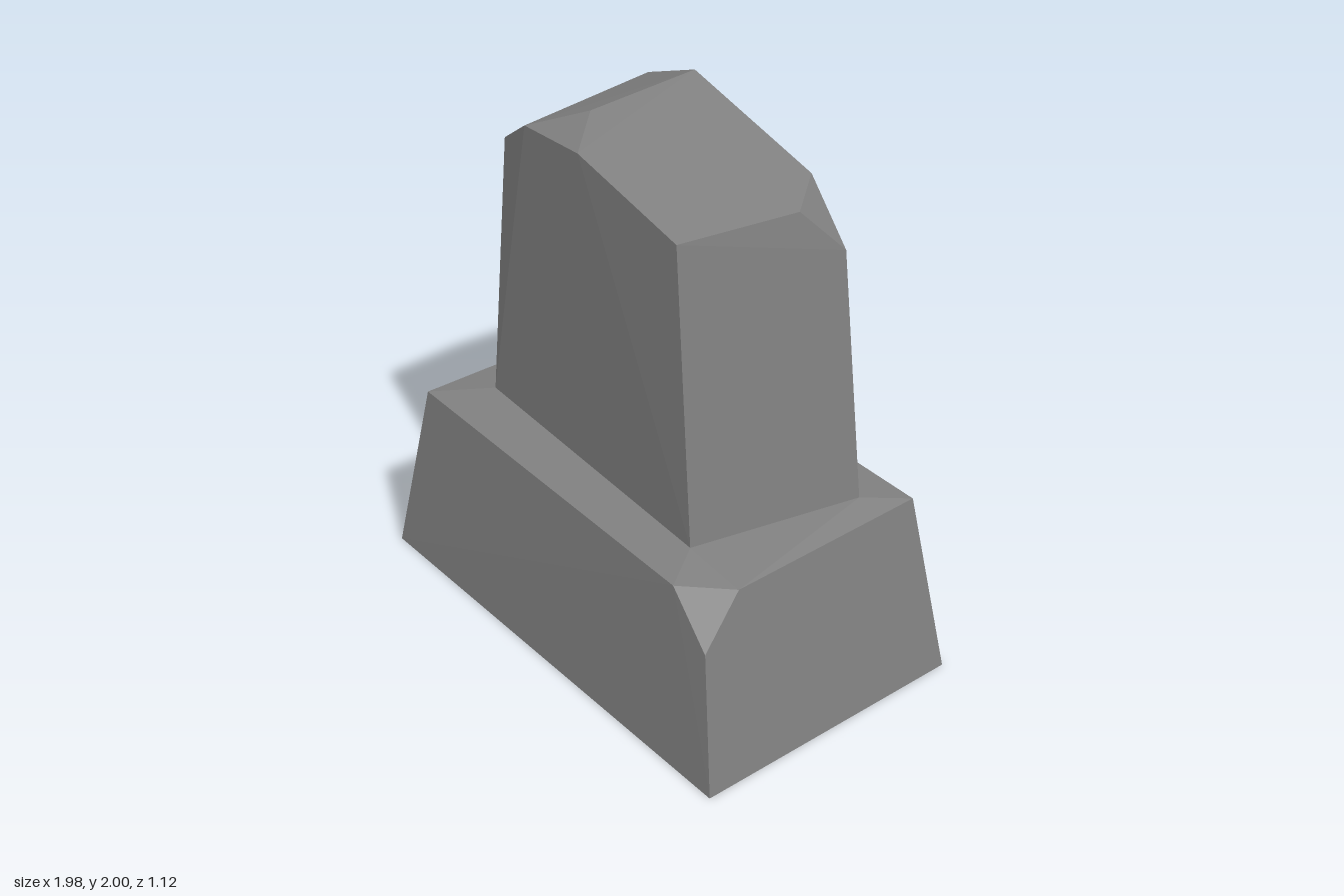
import * as THREE from 'three';
import { ConvexGeometry } from 'three/addons/geometries/ConvexGeometry.js';

// Faceted stone block enclosing the given corner points
function block(name, corners, material) {
  const points = corners.map(([x, y, z]) => new THREE.Vector3(x, y, z));
  const mesh = new THREE.Mesh(new ConvexGeometry(points), material);
  mesh.name = name;
  return mesh;
}

export function createModel() {
  const model = new THREE.Group();
  model.name = 'gravestone';
  const stone = new THREE.MeshStandardMaterial({ color: 0x808080 });
  stone.name = 'grey stone';

  // Footprint shared by the headstone and the raised top of the plinth
  const footprint = [
    [-0.705, 0.715, -0.31], [0.695, 0.715, -0.31],
    [0.59, 0.715, 0.345], [-0.67, 0.715, 0.285],
  ];

  // Tapered plinth with one chipped front corner
  model.add(block('plinth', [
    [-0.99, 0, -0.52], [0.89, 0, -0.565], [0.985, 0, 0.56], [-0.955, 0, 0.55],
    [-0.87, 0.687, -0.46], [0.78, 0.687, -0.483], [-0.835, 0.687, 0.475],
    [0.7, 0.687, 0.5], [0.85, 0.687, 0.34], [0.893, 0.52, 0.513], // chip
    ...footprint,
  ], stone));

  // Upright slab with an off-centre peak and chipped upper corners
  model.add(block('headstone', [
    ...footprint,
    [-0.23, 2, -0.293], [-0.23, 1.972, 0.15],                           // ridge
    [-0.4, 1.895, 0.306], [-0.06, 1.93, 0.325],                         // front chip
    [0.49, 1.825, 0.33],                                                // front left corner
    [0.55, 1.825, -0.13], [0.41, 1.86, -0.293], [0.597, 1.65, -0.295],  // back left chip
    [-0.5, 1.89, -0.293], [-0.57, 1.82, -0.08], [-0.602, 1.65, -0.295], // back right chip
    [-0.578, 1.77, 0.27],                                               // front right corner
  ], stone));

  return model;
}
